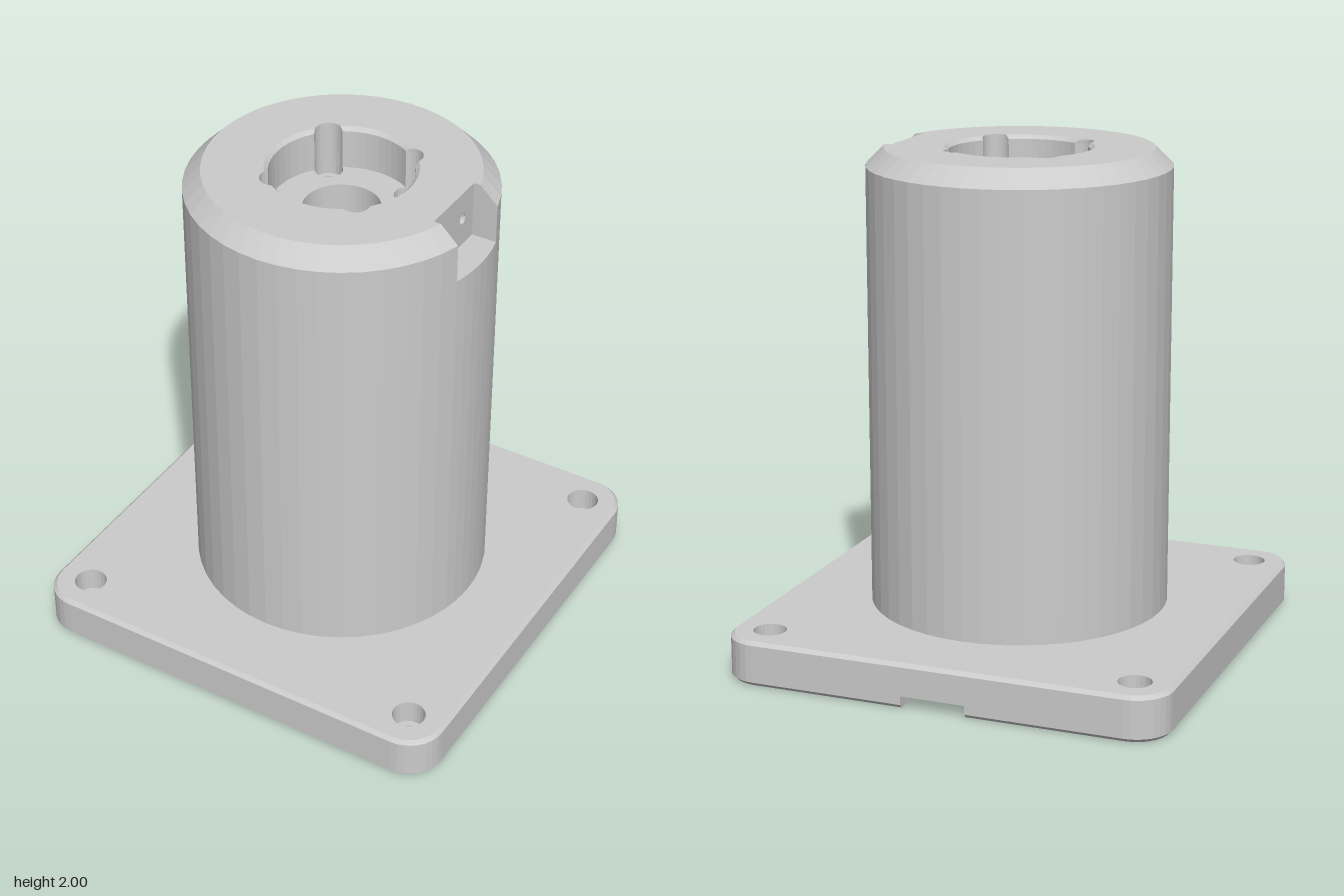
import * as THREE from 'three';
import { mergeGeometries } from 'three/addons/utils/BufferGeometryUtils.js';

const TAU = Math.PI * 2;
const V = (x, v) => new THREE.Vector2(x, v); // plan point: v points to the back (-z)

// Arc points from angle a to b, both ends included
function arc(r, a, b, n, cx = 0, cv = 0) {
  return Array.from({ length: n + 1 }, (_, i) => {
    const t = a + (b - a) * i / n;
    return V(cx + r * Math.cos(t), cv + r * Math.sin(t));
  });
}
const circle = (r, n = 48, cx = 0, cv = 0) => arc(r, 0, TAU, n, cx, cv).slice(0, -1);
const hole = (...args) => circle(...args).reverse(); // clockwise, so its walls face inward

// Flat horizontal face with holes, facing up or down
function face(outline, holes, y, up = true) {
  const shape = new THREE.Shape(outline);
  shape.holes = holes.map(h => new THREE.Path(h));
  const g = new THREE.ShapeGeometry(shape);
  if (!up) g.index.array.reverse(); // turns every triangle round
  g.deleteAttribute('normal');
  g.deleteAttribute('uv');
  return g.toNonIndexed().rotateX(-Math.PI / 2).translate(0, y, 0);
}

// Wall between two matching loops; counter-clockwise loops face outward
function band(lower, y0, upper, y1, closed = true) {
  const pos = [], n = lower.length;
  for (let i = 0; i < (closed ? n : n - 1); i++) {
    const j = (i + 1) % n;
    const a = [lower[i].x, y0, -lower[i].y], b = [lower[j].x, y0, -lower[j].y];
    const c = [upper[j].x, y1, -upper[j].y], d = [upper[i].x, y1, -upper[i].y];
    pos.push(...a, ...b, ...c, ...a, ...c, ...d);
  }
  const g = new THREE.BufferGeometry();
  g.setAttribute('position', new THREE.Float32BufferAttribute(pos, 3));
  return g;
}
const wall = (loop, y0, y1, closed) => band(loop, y0, loop, y1, closed);

// Main sizes
const HALF = 0.895, CORNER = 0.145, BEVEL = 0.015, PLATE = 0.18;
const BORE = 0.485, CEILING = 1.6, OUTER = 0.595, TOP_R = 0.525;
const SLOT_W = 0.13, SLOT_H = 0.05, SLOT_A = Math.acos(SLOT_W / BORE);
const NOTCH_X = 0.475, NOTCH_W = 0.15, NOTCH_Y = 1.775, NOTCH_A = Math.asin(NOTCH_W / OUTER);
const RECESS = 0.275, RECESS_Y = 1.825, SEAT_Y = 1.775, SCREW_R = 0.055;
const SX = 0.175, SV = 0.195;
const quad = (x, v) => [[x, v], [-x, v], [-x, -v], [x, -v]];

// Rounded square, counter-clockwise from the back edge
function plateLoop(inset) {
  const c = HALF - CORNER, r = CORNER - inset;
  return [[-c, c], [-c, -c], [c, -c], [c, c]].flatMap(([x, v], i) =>
    arc(r, (i + 1) * Math.PI / 2, (i + 2) * Math.PI / 2, 8, x, v));
}
// The bore's clockwise arc beside the slot, and the short arc across the slot
const boreArc = arc(BORE, SLOT_A, -Math.PI - SLOT_A, 44);
const slotArc = arc(BORE, Math.PI - SLOT_A, SLOT_A, 6);
const boreLoop = [...boreArc, ...slotArc.slice(1, -1)];

// Plate outline joined to the bore through the cable slot
function slottedLoop(inset) {
  const edge = HALF - inset;
  return [V(-SLOT_W, edge), ...plateLoop(inset), V(SLOT_W, edge), ...boreArc];
}
// Circle cut by the side notch, open across the notch's back wall
function notchedLoop(r) {
  const a = Math.asin(NOTCH_W / r);
  return [V(NOTCH_X, NOTCH_W), ...arc(r, a, TAU - a, 44), V(NOTCH_X, -NOTCH_W)];
}
// Full column outline with the same facets as the notched part
const notchArc = arc(OUTER, -NOTCH_A, NOTCH_A, 6);
const columnLoop = [...arc(OUTER, NOTCH_A, TAU - NOTCH_A, 44), ...notchArc.slice(1, -1)];

// Recess circle with the screw seats added (bulge) or cut away
function recessLoop(r, bulge) {
  const d = Math.hypot(SX, SV), a0 = Math.atan2(SV, SX);
  const alpha = Math.acos((r * r + d * d - SCREW_R ** 2) / (2 * r * d));
  const beta = Math.acos((r * r - d * d - SCREW_R ** 2) / (2 * d * SCREW_R));
  const angles = [a0, Math.PI - a0, Math.PI + a0, TAU - a0, TAU + a0];
  return angles.slice(0, 4).flatMap((t, i) => [
    ...arc(SCREW_R, t - beta, bulge ? t + beta : t + beta - TAU, 12, d * Math.cos(t), d * Math.sin(t)),
    ...arc(r, t + alpha, angles[i + 1] - alpha, 10).slice(1, -1),
  ]);
}

export function createModel() {
  const model = new THREE.Group();
  const material = new THREE.MeshStandardMaterial({ color: 0xcccccc, flatShading: true });
  const add = (name, parts) => {
    const g = mergeGeometries(parts);
    g.computeVertexNormals();
    const mesh = new THREE.Mesh(g, material);
    mesh.name = name;
    model.add(mesh);
    return mesh;
  };
  const bolts = quad(0.745, 0.745), screws = quad(SX, SV);

  // Base plate with bevelled rims and a cable slot underneath
  add('basePlate', [
    face(slottedLoop(BEVEL), bolts.map(p => circle(0.04, 24, ...p)), 0, false),
    band(slottedLoop(BEVEL), 0, slottedLoop(0), BEVEL),
    wall(slottedLoop(0), BEVEL, SLOT_H),
    face([V(-SLOT_W, HALF), ...slotArc, V(SLOT_W, HALF)], [], SLOT_H, false),
    wall(plateLoop(0), SLOT_H, PLATE - BEVEL),
    band(plateLoop(0), PLATE - BEVEL, plateLoop(BEVEL), PLATE),
    face(plateLoop(BEVEL), [columnLoop, ...bolts.map(p => circle(0.065, 24, ...p))], PLATE),
  ]);

  // Counterbored bolt holes in the plate corners
  add('boltHoles', bolts.flatMap(p => [
    wall(hole(0.04, 24, ...p), 0, 0.08),
    face(circle(0.065, 24, ...p), [circle(0.04, 24, ...p)], 0.08),
    wall(hole(0.065, 24, ...p), 0.08, PLATE),
  ]));

  // Column with chamfered top
  add('column', [
    wall(columnLoop, PLATE, NOTCH_Y),
    wall(notchedLoop(OUTER), NOTCH_Y, 1.93, false),
    band(notchedLoop(OUTER), 1.93, notchedLoop(TOP_R), 2, false),
    face(notchedLoop(TOP_R), [recessLoop(RECESS + 0.015, true)], 2),
    face([V(NOTCH_X, -NOTCH_W), ...notchArc, V(NOTCH_X, NOTCH_W)], [], NOTCH_Y),
  ]);

  // Hollow inside of the column
  add('bore', [
    wall(boreLoop, SLOT_H, CEILING),
    face(boreLoop, [circle(0.15), ...screws.map(p => circle(0.033, 20, ...p))], CEILING, false),
  ]);

  // Recess in the top with a central opening
  const lip = recessLoop(RECESS + 0.015, true).reverse();
  const rim = recessLoop(RECESS, true).reverse();
  add('topRecess', [
    band(rim, 1.985, lip, 2),
    wall(rim, RECESS_Y, 1.985),
    face(recessLoop(RECESS, false), [circle(0.15)], RECESS_Y),
    wall(hole(0.15), CEILING, RECESS_Y),
  ]);

  // Screw seats around the opening
  add('screwSeats', screws.flatMap(p => [
    wall(hole(SCREW_R, 24, ...p), SEAT_Y, RECESS_Y),
    face(circle(SCREW_R, 24, ...p), [circle(0.033, 20, ...p)], SEAT_Y),
    wall(hole(0.033, 20, ...p), CEILING, SEAT_Y),
  ]));

  // Back wall of the side notch with two small blind holes, built flat and turned upright
  const pins = [[0, -0.07], [0, 0.07]], h = (2 - NOTCH_Y) / 2;
  const notch = add('notchWall', [
    face(quad(h, NOTCH_W).map(p => V(...p)), pins.map(p => circle(0.022, 16, ...p)), 0),
    ...pins.flatMap(p => [
      wall(hole(0.022, 16, ...p), -0.1, 0),
      face(circle(0.022, 16, ...p), [], -0.1),
    ]),
  ]);
  notch.rotation.z = -Math.PI / 2;
  notch.position.set(NOTCH_X, NOTCH_Y + h, 0);

  return model;
}
